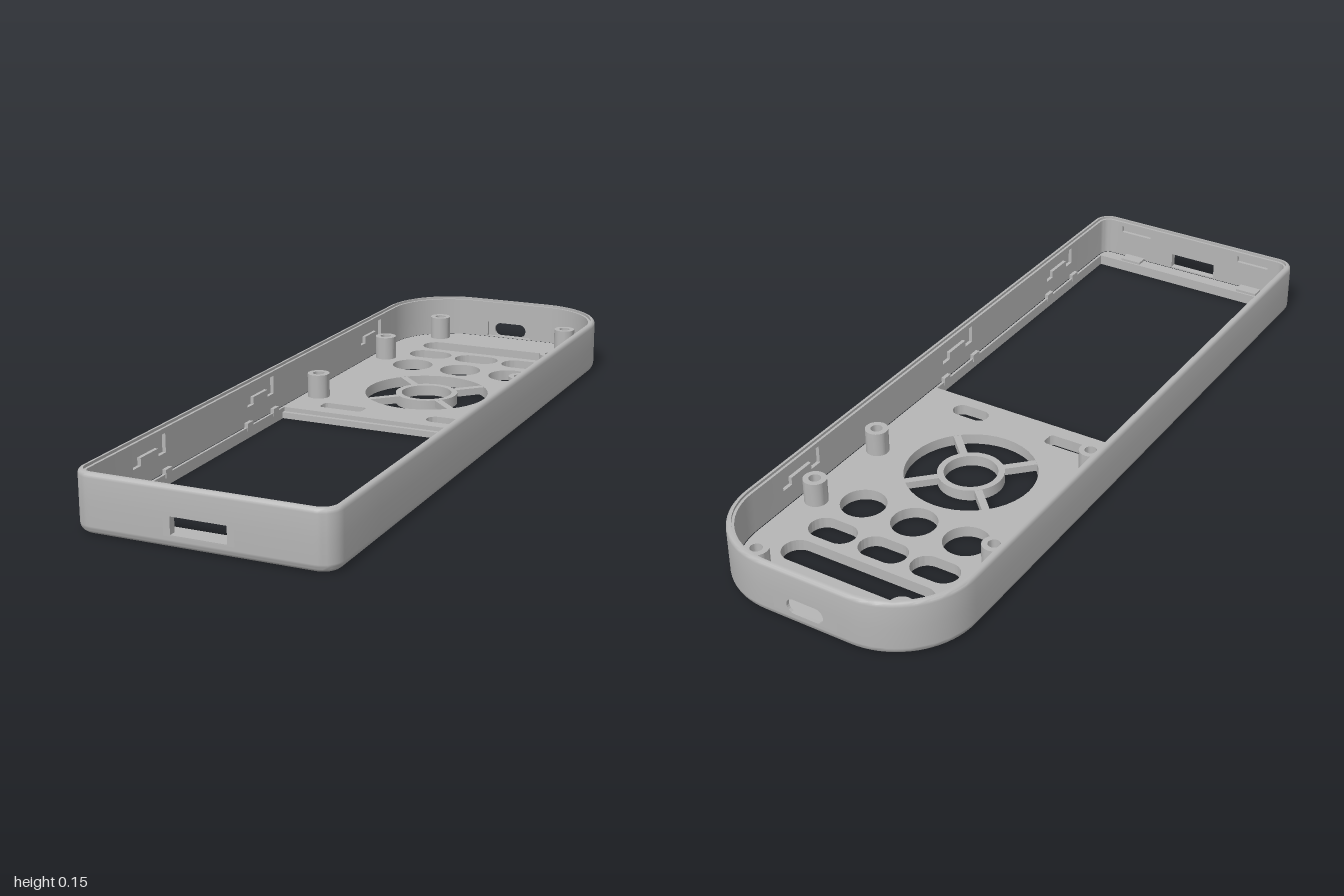
import * as THREE from 'three';
import { toCreasedNormals } from 'three/addons/utils/BufferGeometryUtils.js';

const W = 0.332, L = 1, WALL = 0.02, FLOOR = 0.03, H = 0.15;
const R_BACK = 0.21, R_FRONT = 0.05;
const CLIP_Z = [0.69, 0.12, -0.6], CLIP_HALF = 0.075;

export function createModel() {
  const model = new THREE.Group();
  model.name = 'handsetShell';
  const plastic = new THREE.MeshStandardMaterial({ color: 0xb6b6b6 });
  plastic.name = 'greyPlastic';

  const add = (name, geo, x = 0, y = 0, z = 0) => {
    const mesh = new THREE.Mesh(toCreasedNormals(geo, 0.6), plastic);
    mesh.name = name;
    mesh.position.set(x, y, z);
    model.add(mesh);
    return mesh;
  };
  // Box given by its limits
  const block = (name, x0, x1, y0, y1, z0, z1) =>
    add(name, new THREE.BoxGeometry(x1 - x0, y1 - y0, z1 - z0), (x0 + x1) / 2, (y0 + y1) / 2, (z0 + z1) / 2);

  // Plan outline inset by d, with breaks where wall openings start and end
  function outline(d) {
    const pts = [], w = W - d, l = L - d;
    const arc = (sx, sz, R, start, n) => {
      for (let i = 0; i <= n; i++) {
        const t = start + (Math.PI / 2) * i / n;
        pts.push([sx * (W - R) + (R - d) * Math.cos(t), sz * (L - R) - (R - d) * Math.sin(t)]);
      }
    };
    const breaks = CLIP_Z.flatMap(z => [z + CLIP_HALF, z - CLIP_HALF]);
    breaks.forEach(z => pts.push([w, z]));
    arc(1, -1, R_BACK, 0, 18);
    [0.09, -0.09].forEach(x => pts.push([x, -l]));
    arc(-1, -1, R_BACK, Math.PI / 2, 18);
    [...breaks].reverse().forEach(z => pts.push([-w, z]));
    arc(-1, 1, R_FRONT, Math.PI, 8);
    [-0.25, -0.15, -0.09, 0.09, 0.15, 0.25].forEach(x => pts.push([x, l]));
    arc(1, 1, R_FRONT, Math.PI * 1.5, 8);
    return pts;
  }

  // Wall openings: end ports go right through, clip pockets are blind
  const box = (x0, x1, y0, y1, z0, z1) =>
    new THREE.Box3(new THREE.Vector3(x0, y0, z0), new THREE.Vector3(x1, y1, z1));
  const ports = [box(-0.09, 0.09, 0.03, 0.08, L - WALL, L), box(-0.09, 0.09, 0.03, 0.08, -L, WALL - L)];
  const pockets = [];
  const inner = W - WALL;
  for (const s of [1, -1]) {
    for (const z of CLIP_Z) {
      const a = s * inner, b = s * (inner + 0.01);
      pockets.push(box(Math.min(a, b), Math.max(a, b), 0.08, 0.13, z - CLIP_HALF, z + CLIP_HALF));
    }
    pockets.push(box(s * 0.2 - 0.05, s * 0.2 + 0.05, 0.11, 0.13, L - WALL, L - WALL + 0.01));
  }
  const openings = [...ports, ...pockets].map(b => b.clone().expandByScalar(0.001));

  // Perimeter wall: section (inset, height) swept round the outline
  const section = [];
  for (let i = 0; i <= 6; i++) {
    const t = (Math.PI / 2) * i / 6;
    section.push([0.022 * (1 - Math.sin(t)), 0.022 * (1 - Math.cos(t))]);
  }
  section.push([0, 0.03], [0, 0.08], [0, 0.138], [0.001, 0.144], [0.004, 0.148], [0.009, H],
    [0.013, H], [0.013, 0.143], [WALL, 0.143], [WALL, 0.13], [WALL, 0.11], [WALL, 0.08], [WALL, FLOOR]);
  const rings = section.map(([d, y]) => outline(d).map(([x, z]) => new THREE.Vector3(x, y, z)));
  const verts = [], n = rings[0].length, mid = new THREE.Vector3();
  for (let v = 0; v < rings.length - 1; v++) {
    for (let u = 0; u < n; u++) {
      const k = (u + 1) % n;
      const a = rings[v][u], b = rings[v][k], c = rings[v + 1][k], e = rings[v + 1][u];
      mid.copy(a).add(b).add(c).add(e).multiplyScalar(0.25);
      if (openings.some(o => o.containsPoint(mid))) continue;
      for (const p of [a, b, c, a, c, e]) verts.push(p.x, p.y, p.z);
    }
  }
  const wall = new THREE.BufferGeometry();
  wall.setAttribute('position', new THREE.Float32BufferAttribute(verts, 3));
  wall.computeVertexNormals();
  add('perimeterWall', wall);

  // Inside-out boxes line the clip pockets; a small catch sits in each
  for (const b of pockets) {
    const s = b.getSize(new THREE.Vector3()), c = b.getCenter(new THREE.Vector3());
    const g = new THREE.BoxGeometry(s.x, s.y, s.z).scale(-1, 1, 1);
    g.computeVertexNormals();
    add('clipPocket', g, c.x, c.y, c.z);
    if (s.x < s.z) block('clipCatch', b.min.x, b.max.x, 0.08, 0.1, c.z - 0.04, c.z + 0.04);
  }

  // Rounded slot path from its limits
  function slot(x0, x1, y0, y1, r = (y1 - y0) / 2, Type = THREE.Path) {
    const p = new Type();
    if (r === 0) {
      p.moveTo(x0, y0).lineTo(x1, y0).lineTo(x1, y1).lineTo(x0, y1).closePath();
      return p;
    }
    p.absarc(x1 - r, y0 + r, r, -Math.PI / 2, 0);
    p.absarc(x1 - r, y1 - r, r, 0, Math.PI / 2);
    p.absarc(x0 + r, y1 - r, r, Math.PI / 2, Math.PI);
    p.absarc(x0 + r, y0 + r, r, Math.PI, Math.PI * 1.5);
    p.closePath();
    return p;
  }
  const circle = (x, y, r, Type = THREE.Path) => new Type().absarc(x, y, r, 0, Math.PI * 2);
  const extrude = (shape, depth) =>
    new THREE.ExtrudeGeometry(shape, { depth, bevelEnabled: false, curveSegments: 20 });

  // End panels holding the ports
  function panel(name, hole, z, depth) {
    const s = slot(-0.09, 0.09, 0.03, 0.08, 0, THREE.Shape);
    s.holes.push(hole);
    add(name, extrude(s, depth), 0, 0, z);
  }
  panel('frontPort', slot(-0.072, 0.072, 0.034, 0.078, 0), L - WALL, WALL);
  panel('backPort', slot(-0.052, 0.052, 0.033, 0.074), -L, 0.009);
  panel('backPortRecess', slot(-0.072, 0.072, 0.0325, 0.078, 0), -L + 0.009, WALL - 0.009);

  // Face plate with button holes and the screen window
  const flat = (shape, depth) => extrude(shape, depth).rotateX(Math.PI / 2);
  const face = new THREE.Shape(outline(0.022).map(([x, z]) => new THREE.Vector2(x, z)));
  const padZ = -0.298;
  face.holes.push(
    slot(-0.303, 0.303, 0, 0.94, 0),
    slot(-0.217, 0.217, -0.842, -0.757),
    slot(-0.217, -0.085, -0.732, -0.65),
    slot(-0.067, 0.067, -0.732, -0.65),
    slot(0.085, 0.217, -0.732, -0.65),
    ...[-0.154, 0, 0.154].map(x => circle(x, -0.558, 0.06)),
    circle(0, padZ, 0.175),
    slot(-0.217, -0.09, -0.085, -0.042, 0.012),
    slot(0.1, 0.206, -0.087, -0.036),
  );
  add('facePlate', flat(face, FLOOR), 0, FLOOR, 0);

  // Direction pad ring and its diagonal spokes
  const ring = circle(0, 0, 0.088, THREE.Shape);
  ring.holes.push(circle(0, 0, 0.071));
  add('padRing', flat(ring, FLOOR), 0, FLOOR, padZ);
  for (let i = 0; i < 4; i++) {
    const a = Math.PI / 4 + i * Math.PI / 2;
    const spoke = add('padSpoke', new THREE.BoxGeometry(0.1, 0.02, 0.02),
      0.131 * Math.cos(a), 0.0195, padZ - 0.131 * Math.sin(a));
    spoke.rotation.y = a;
  }

  // Screw bosses with blind holes
  const bossProfile = [[0.031, 0], [0.031, 0.068], [0.016, 0.068], [0.016, 0.012], [0, 0.012]]
    .map(p => new THREE.Vector2(...p));
  for (const [x, z] of [[-0.208, -0.91], [0.208, -0.91], [-0.265, -0.607], [0.265, -0.607], [0.265, -0.34], [-0.265, -0.14]])
    add('screwBoss', new THREE.LatheGeometry(bossProfile, 24), x, FLOOR - 0.001, z);

  // Screen ledge, side nubs and front rests
  block('screenLedge', -0.303, 0.303, 0.001, 0.018, -0.001, 0.012);
  for (const s of [1, -1]) {
    for (const z of [0.05, 0.2, 0.62, 0.77])
      block('sideNub', s * 0.307 - 0.006, s * 0.307 + 0.006, 0.02, 0.042, z - 0.015, z + 0.015);
    block('frontRest', s * 0.2 - 0.032, s * 0.2 + 0.032, 0.02, 0.037, 0.945, 0.981);
  }
  return model;
}
